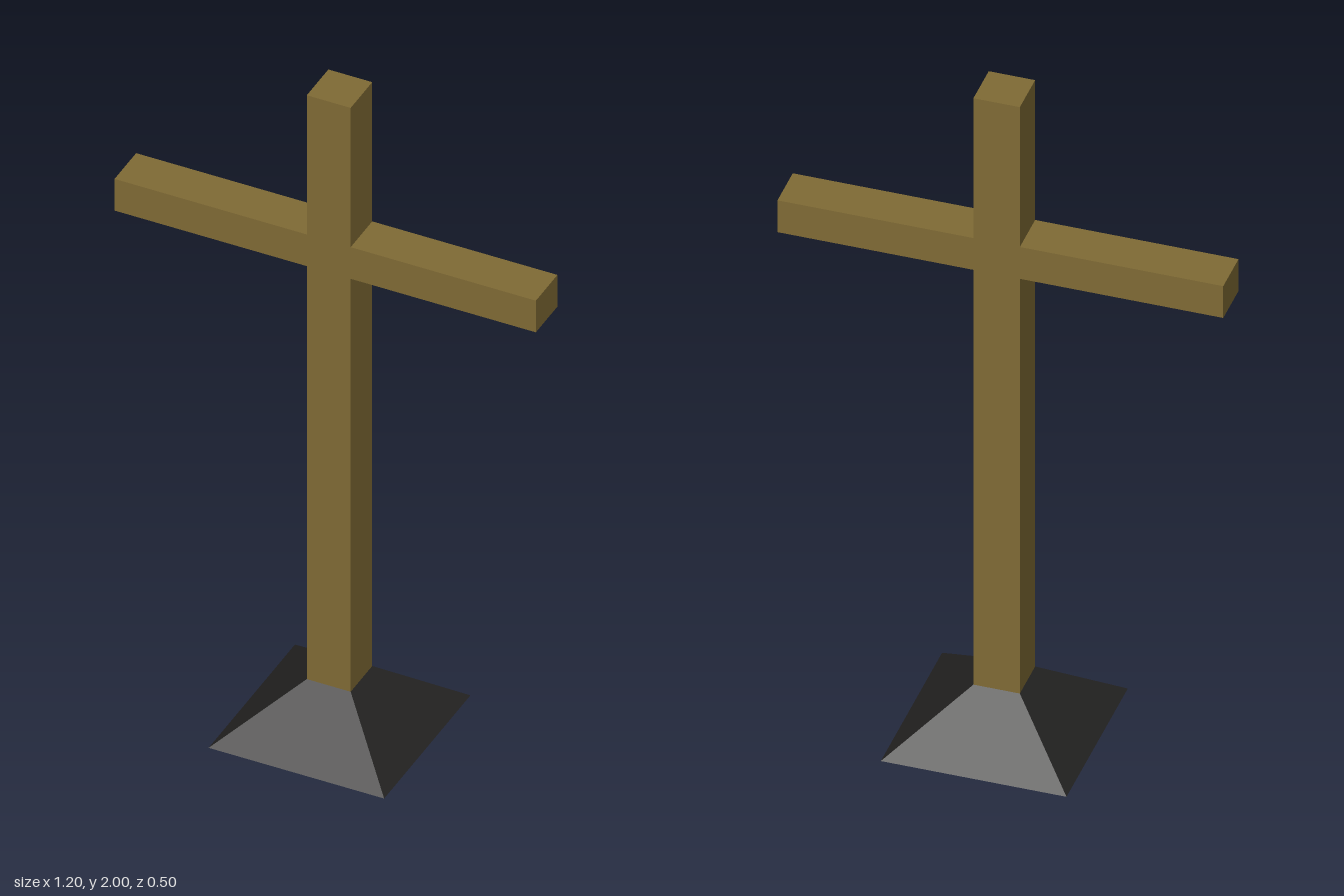
import * as THREE from 'three';

export function createModel() {
  const group = new THREE.Group();
  const wood = new THREE.MeshStandardMaterial({ color: 0x806b35 });
  const dark = new THREE.MeshStandardMaterial({ color: 0x242322, flatShading: true });

  const add = (name, geometry, material, x, y, z) => {
    const mesh = new THREE.Mesh(geometry, material);
    mesh.name = name;
    mesh.position.set(x, y, z);
    group.add(mesh);
  };

  const thick = 0.125, postX = 0.01;
  const baseHeight = 0.155, baseWidth = 0.5;
  const barHeight = 0.1, barY = 1.51, barLength = 1.2;

  // Square tapered foot: a four-sided frustum turned to face the axes
  const foot = new THREE.CylinderGeometry(thick * Math.SQRT1_2, baseWidth * Math.SQRT1_2, baseHeight, 4);
  foot.rotateY(Math.PI / 4);
  add('base', foot, dark, postX, baseHeight / 2, 0);

  // Upright post standing on the foot
  const postHeight = 2 - baseHeight;
  add('post', new THREE.BoxGeometry(thick, postHeight, thick), wood, postX, baseHeight + postHeight / 2, 0);

  // Two arms of the crossbar, butted against the sides of the post
  for (const side of [-1, 1]) {
    const inner = postX + side * thick / 2;
    const outer = side * barLength / 2;
    const arm = new THREE.BoxGeometry(Math.abs(outer - inner), barHeight, thick);
    add(side > 0 ? 'leftArm' : 'rightArm', arm, wood, (inner + outer) / 2, barY, 0);
  }

  return group;
}
